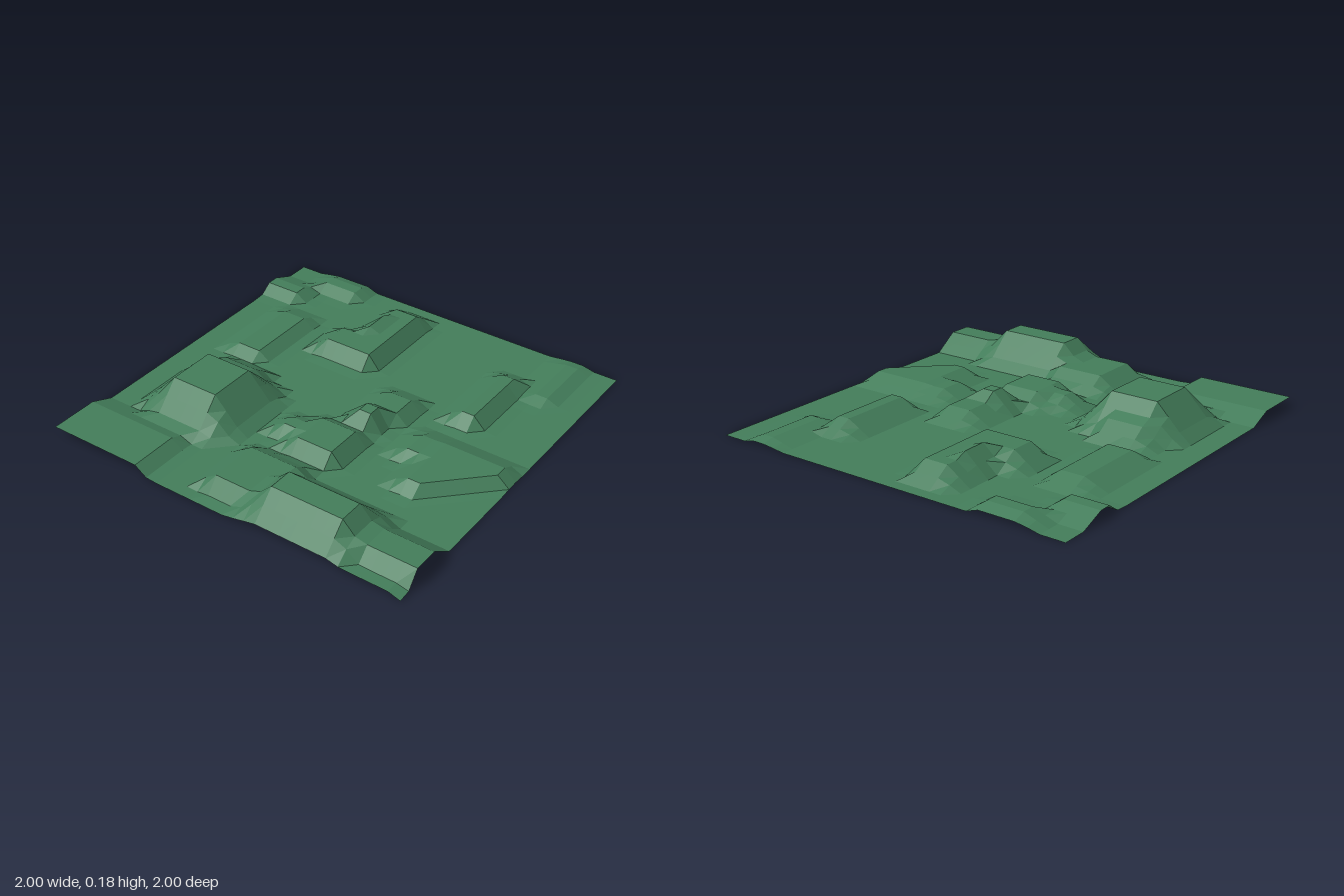
import * as THREE from 'three';

const CELLS = 31;

// Flat hilltops in grid cells: x0, x1, z0, z1, height
const hills = [
  // big mound and its low spur
  [5, 9, 19, 23, 0.18],
  [5, 8, 17, 18, 0.09],
  // rear hill
  [12, 14, 3, 10, 0.085],
  [10, 14, 8, 10, 0.085],
  [12, 12, 5, 7, 0.11],
  // low rises on the right side
  [4, 6, 8, 14, 0.05],
  [4, 7, 1, 2, 0.045],
  [0, 3, 4, 5, 0.05],
  // rear left hills
  [24, 25, 6, 12, 0.07],
  [27, 28, 1, 6, 0.03],
  // middle knolls
  [18, 19, 16, 17, 0.11],
  [18, 20, 13, 15, 0.065],
  [16, 19, 19, 22, 0.08],
  [14, 17, 20, 21, 0.07],
  [23, 24, 16, 18, 0.055],
  // front ridge, its two shoulders and its foot
  [19, 25, 27, 29, 0.17],
  [26, 31, 27, 29, 0.09],
  [14, 18, 25, 29, 0.085],
  [18, 30, 30, 31, 0.022],
  // raised front corner
  [0, 8, 27, 31, 0.05],
];
// stepped diagonal bank
for (let i = 0; i < 5; i++) hills.push([25 + i, 26 + i, 16, 21 - i, 0.06]);

// Distance outside a span, measured in slope widths
function outside(v, lo, hi, before, after) {
  return v < lo ? (lo - v) / before : v > hi ? (v - hi) / after : 0;
}

// Low hills are gentle to the west and north, steep to the east and south;
// tall hills slope evenly
function heightAt(cx, cz) {
  let y = 0;
  for (const [x0, x1, z0, z1, h] of hills) {
    const [gentle, steep] = h > 0.15 ? [2.8, 2.6] : [2, 1.1];
    const d = Math.hypot(outside(cx, x0, x1, gentle, steep), outside(cz, z0, z1, gentle, steep));
    y = Math.max(y, h * (1 - d));
  }
  return y;
}

export function createModel() {
  const group = new THREE.Group();
  group.name = 'terrain';

  // Open ground sheet, raised vertex by vertex
  const sheet = new THREE.PlaneGeometry(2, 2, CELLS, CELLS).rotateX(-Math.PI / 2);
  const p = sheet.attributes.position;
  for (let i = 0; i < p.count; i++) {
    const cx = Math.round((p.getX(i) + 1) * CELLS / 2);
    const cz = Math.round((p.getZ(i) + 1) * CELLS / 2);
    p.setY(i, heightAt(cx, cz));
  }
  const geometry = sheet.toNonIndexed();
  geometry.computeVertexNormals();

  const ground = new THREE.Mesh(geometry, new THREE.MeshStandardMaterial({
    color: 0x437d5a, flatShading: true, side: THREE.DoubleSide,
  }));
  ground.name = 'ground';
  group.add(ground);
  return group;
}
